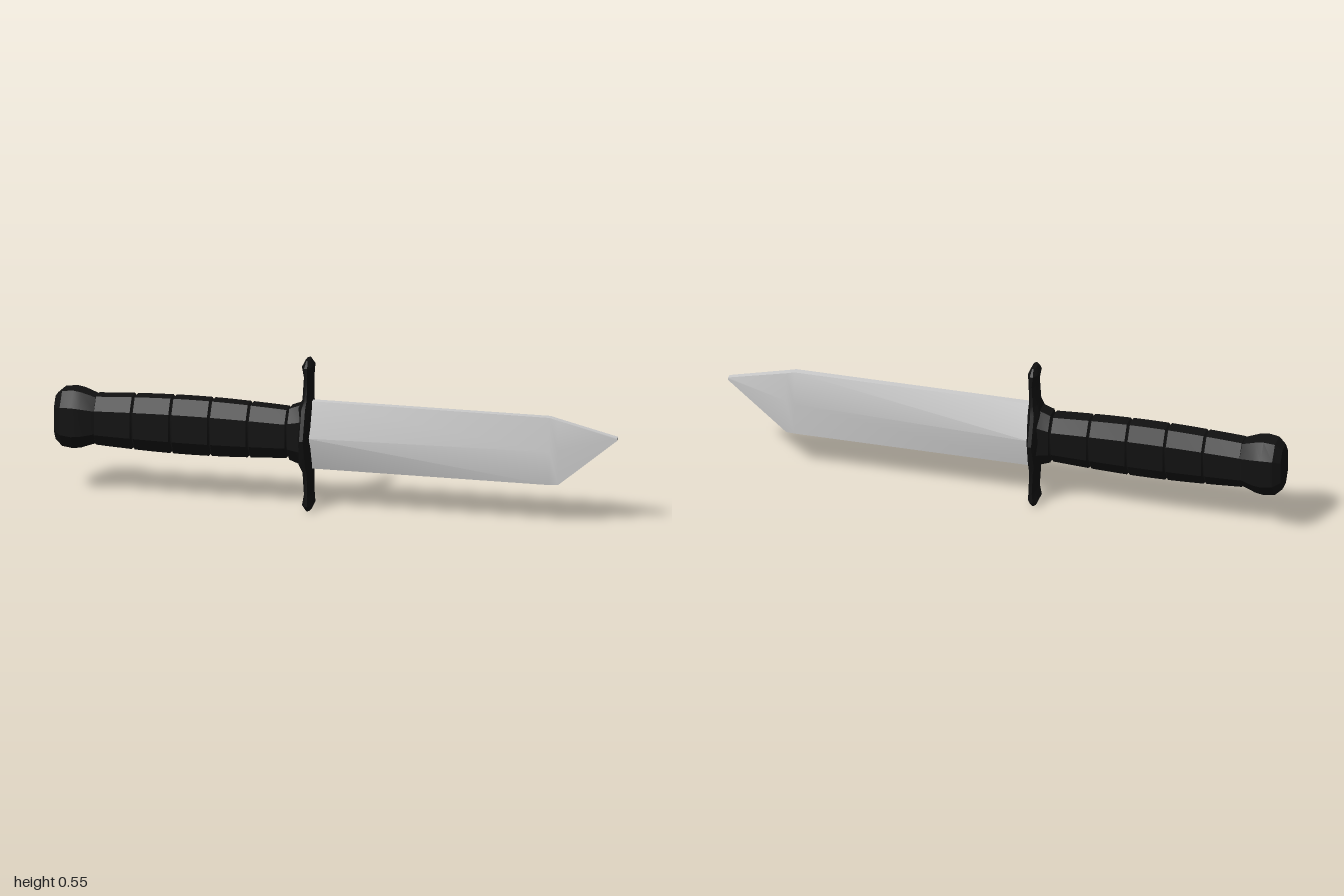
import * as THREE from 'three';
import { toCreasedNormals } from 'three/addons/utils/BufferGeometryUtils.js';

// Skin a list of equal-length rings (each counter-clockwise seen from the far end) and cap both ends.
function loft(rings, crease) {
  const n = rings[0].length;
  const last = (rings.length - 1) * n;
  const index = [];
  for (let r = 0; r < rings.length - 1; r++) {
    for (let i = 0; i < n; i++) {
      const a = r * n + i;
      const b = r * n + (i + 1) % n;
      index.push(a, b, b + n, a, b + n, a + n);
    }
  }
  for (let i = 1; i < n - 1; i++) {
    index.push(0, i + 1, i);
    index.push(last, last + i, last + i + 1);
  }
  const geometry = new THREE.BufferGeometry();
  geometry.setAttribute('position', new THREE.Float32BufferAttribute(rings.flat(2), 3));
  geometry.setIndex(index);
  return toCreasedNormals(geometry, crease);
}

// Unit octagon with bevelled corners
const octagon = (p, q) => [[1, q], [p, 1], [-p, 1], [-1, q], [-1, -q], [-p, -1], [p, -1], [1, -q]];

// Ring across the x axis, centred on height cy
const gripRing = ([x, cy, hy, hz]) => octagon(0.5, 0.45).map(([u, v]) => [x, cy + u * hy, v * hz]);

// Ring across the y axis, for the guard
const guardRing = ([y, cx, hx, hz]) => octagon(0.55, 0.3).map(([u, v]) => [cx + v * hx, y, u * hz]);

// Six-sided blade section: flat spine, ridge on both sides, flat lower edge
const bladeRing = ([x, top, mid, bottom, ridge, edge]) => [
  [x, top, -edge], [x, top, edge], [x, mid, ridge],
  [x, bottom, edge], [x, bottom, -edge], [x, mid, -ridge],
];

export function createModel() {
  const model = new THREE.Group();
  const black = new THREE.MeshStandardMaterial({ color: 0x111111 });
  const grey = new THREE.MeshStandardMaterial({ color: 0xcccccc });
  const add = (name, geometry, material) => {
    const mesh = new THREE.Mesh(geometry, material);
    mesh.name = name;
    model.add(mesh);
  };

  // Blade: tapers in thickness to an off-centre point
  add('blade', loft([
    [-0.1, 0.398, 0.276, 0.153, 0.06, 0.012],
    [0.76, 0.398, 0.276, 0.153, 0.021, 0.012],
    [0.79, 0.39, 0.284, 0.155, 0.0195, 0.012],
    [1, 0.34, 0.335, 0.33, 0.01, 0.009],
  ].map(bladeRing), 0.5), grey);

  // Cross guard: wide waist, narrow arms, swollen bevelled ends
  add('guard', loft([
    [0, -0.102, 0.008, 0.026],
    [0.022, -0.102, 0.018, 0.048],
    [0.06, -0.1, 0.013, 0.048],
    [0.14, -0.103, 0.015, 0.048],
    [0.17, -0.108, 0.022, 0.06],
    [0.274, -0.108, 0.022, 0.097],
    [0.378, -0.108, 0.022, 0.06],
    [0.408, -0.103, 0.015, 0.048],
    [0.488, -0.1, 0.013, 0.048],
    [0.526, -0.102, 0.018, 0.048],
    [0.548, -0.102, 0.008, 0.026],
  ].map(guardRing), 0.5), black);

  // Grip: barrel-shaped segments separated by fine grooves, flaring into the guard
  const grip = [];
  const segments = 5;
  const start = -0.86;
  const step = 0.138;
  for (let s = 0; s < segments; s++) {
    for (const [t, dip] of [[0, 0.006], [0.04, 0], [0.5, 0], [0.96, 0], [1, 0.006]]) {
      if (t === 1 && s < segments - 1) continue;
      const along = (s + t) / segments;
      const hy = 0.087 + 0.013 * Math.sin(Math.PI * along) - dip;
      grip.push([start + (s + t) * step, 0.277, hy, 0.059 - dip]);
    }
  }
  grip.push([-0.165, 0.277, 0.093, 0.059], [-0.13, 0.277, 0.106, 0.059], [-0.11, 0.277, 0.118, 0.06]);
  add('grip', loft(grip.map(gripRing), 0.5), black);

  // Pommel
  add('pommel', loft([
    [-1, 0.278, 0.078, 0.05],
    [-0.975, 0.278, 0.1, 0.068],
    [-0.935, 0.278, 0.105, 0.075],
    [-0.905, 0.278, 0.1, 0.073],
    [-0.855, 0.278, 0.083, 0.059],
  ].map(gripRing), 0.3), black);

  return model;
}
